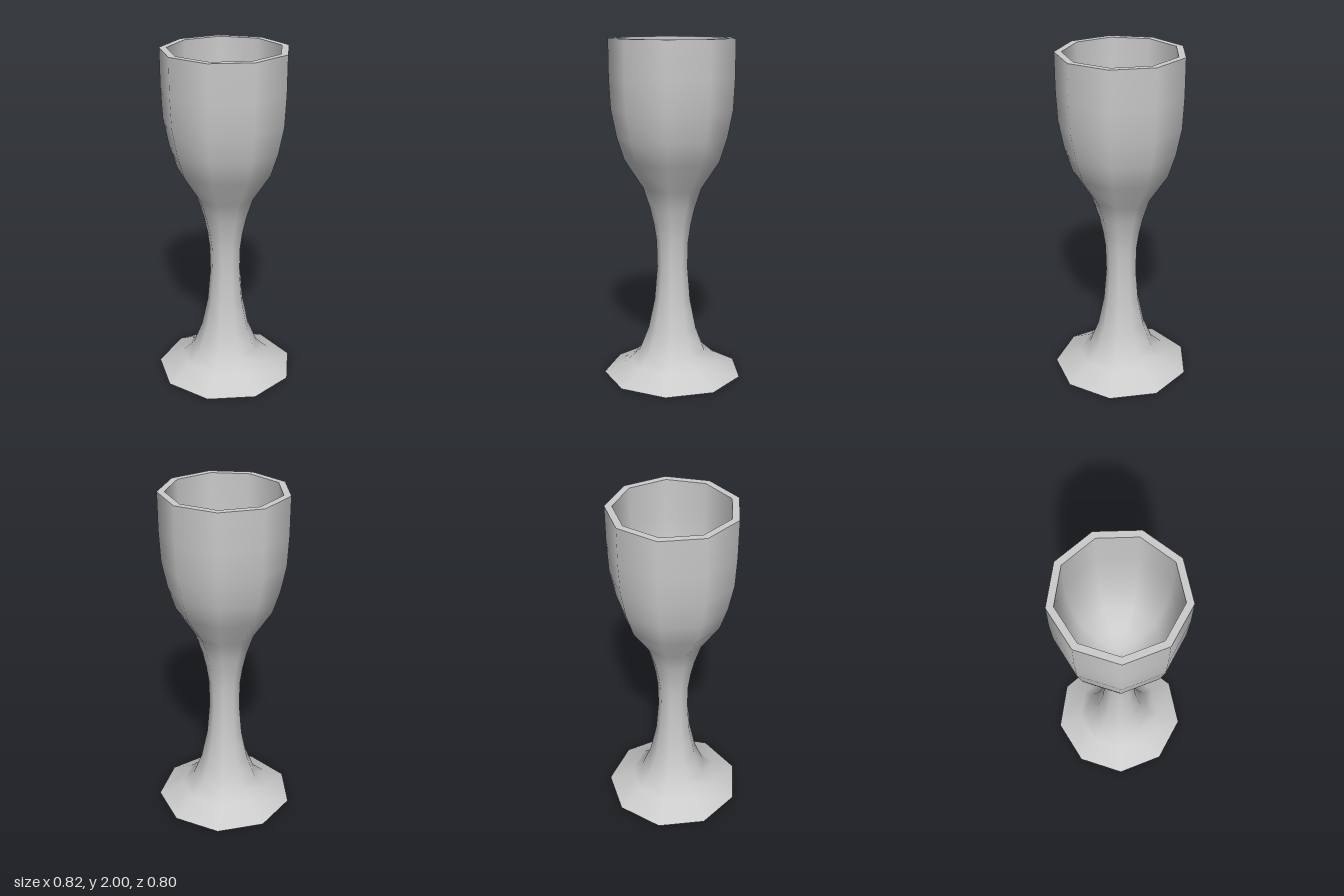
import * as THREE from 'three';

const SIDES = 9;

// Nine-sided surface of revolution with one corner pointing to the back.
// Profiles run from the base centre, up the outside, over the rim and down inside.
function turned(name, profile) {
  const points = profile.map(([r, y]) => new THREE.Vector2(r, y));
  const mesh = new THREE.Mesh(
    new THREE.LatheGeometry(points, SIDES, Math.PI, Math.PI * 2),
    new THREE.MeshStandardMaterial({ color: 0xcccccc })
  );
  mesh.name = name;
  return mesh;
}

export function createModel() {
  const goblet = new THREE.Group();
  goblet.name = 'goblet';

  // Flat underside of the foot
  goblet.add(turned('footUnderside', [[0, 0], [0.415, 0]]));

  // Foot, stem and outer bowl flow into each other as one smooth skin
  goblet.add(turned('outerBody', [
    [0.415, 0], [0.268, 0.08], [0.199, 0.143], [0.145, 0.28], [0.108, 0.46],
    [0.092, 0.66], [0.096, 0.82], [0.111, 0.92], [0.134, 1.02], [0.173, 1.14],
    [0.281, 1.305], [0.324, 1.44], [0.356, 1.6], [0.365, 1.78], [0.366, 2],
  ]));

  // Flat lip
  goblet.add(turned('rim', [[0.366, 2], [0.325, 2]]));

  // Hollow of the bowl
  goblet.add(turned('innerBowl', [
    [0.325, 2], [0.324, 1.78], [0.315, 1.6], [0.284, 1.45], [0.235, 1.33],
    [0.14, 1.22], [0.06, 1.185], [0, 1.18],
  ]));

  // Centre the odd-sided outline front to back
  goblet.children.forEach((part) => { part.position.z = 0.012; });
  return goblet;
}
